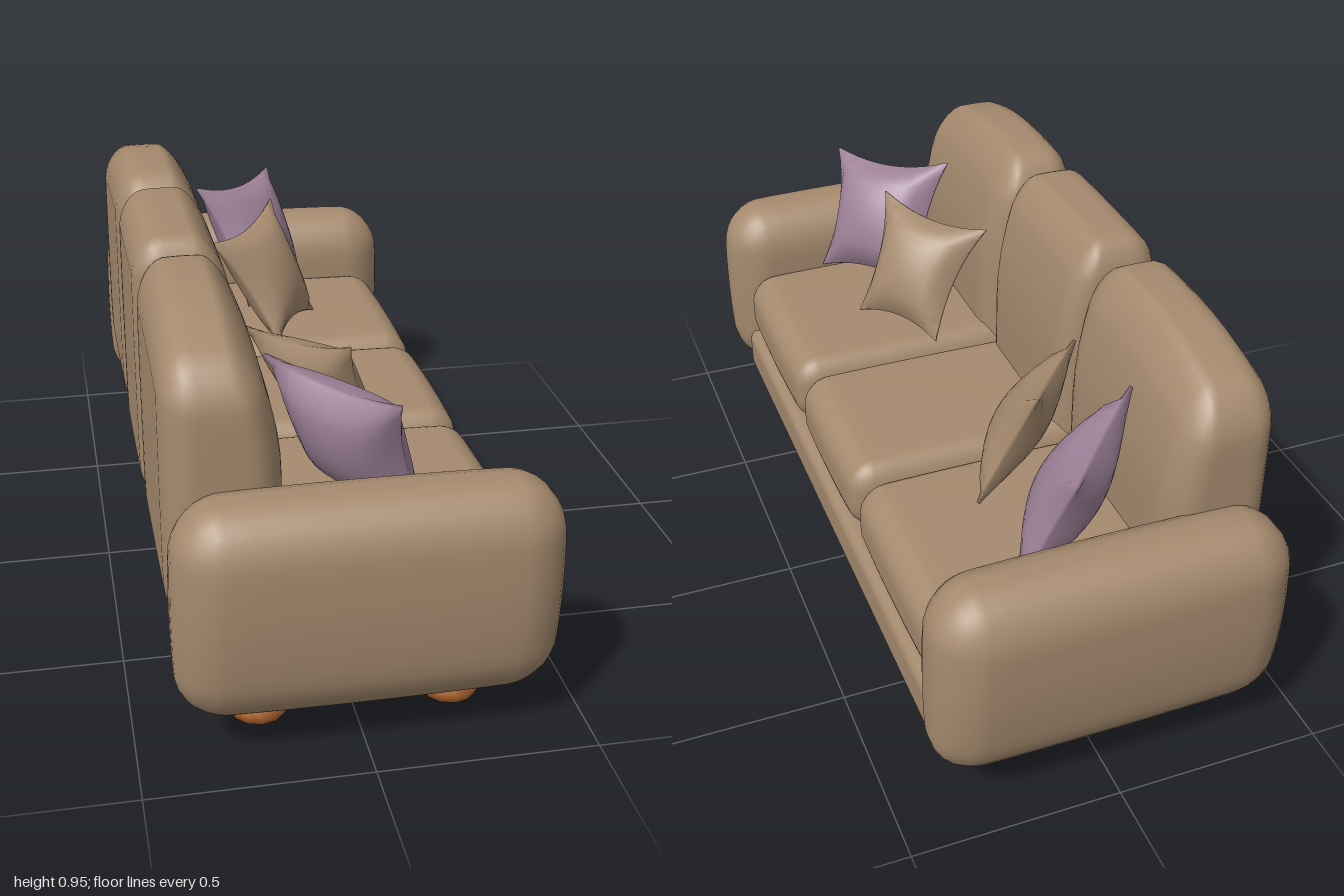
import * as THREE from 'three';
import { mergeVertices } from 'three/addons/utils/BufferGeometryUtils.js';

const mat = (name, color) => new THREE.MeshStandardMaterial({ name, color });

// Weld seams, then smooth the normals
function smooth(geo) {
  geo.deleteAttribute('uv');
  geo.deleteAttribute('normal');
  const g = mergeVertices(geo, 1e-5);
  g.computeVertexNormals();
  return g;
}

// Stuffed block between two corners, with a rounding radius per axis,
// a slight bulge on each side and an optional rule that moves each vertex
function cushion(min, max, radii, bulge = 0, warp = null) {
  const n = 14;
  const geo = new THREE.BoxGeometry(2, 2, 2, n, n, n);
  const pos = geo.attributes.position;
  const half = min.map((a, i) => (max[i] - a) / 2);
  const mid = min.map((a, i) => (max[i] + a) / 2);
  const v = new THREE.Vector3();
  for (let k = 0; k < pos.count; k++) {
    const p = [pos.getX(k), pos.getY(k), pos.getZ(k)];
    // outer half of each axis is the rounded edge
    const q = p.map((u) => Math.sign(u) * Math.tan(Math.max(0, Math.abs(u) - 0.5) * Math.PI / 2));
    const len = Math.hypot(...q);
    const unit = p.map((u, i) => {
      const flat = Math.max(-1, Math.min(1, u * 2)) * (half[i] - radii[i]);
      return (flat + radii[i] * q[i] / len) / half[i];
    });
    const sq = unit.map((u) => u * u);
    const sum = sq[0] + sq[1] + sq[2];
    v.fromArray(unit.map((u, i) => mid[i] + half[i] * u * (1 - bulge * (sum - sq[i]) / 2)));
    if (warp) warp(v);
    pos.setXYZ(k, v.x, v.y, v.z);
  }
  return smooth(geo);
}

// Puffed pillow stretched between four corners, with sides drawn inward
function pillow([topOut, topIn, lowIn, lowOut], puff) {
  const geo = new THREE.BoxGeometry(2, 2, 2, 10, 10, 1);
  const pos = geo.attributes.position;
  const uDir = lowOut.clone().sub(lowIn);
  const vDir = topIn.clone().sub(lowIn);
  const normal = uDir.cross(vDir).normalize();
  const low = new THREE.Vector3(), top = new THREE.Vector3();
  for (let k = 0; k < pos.count; k++) {
    const u = pos.getX(k), v = pos.getY(k), side = pos.getZ(k);
    const s = u * (1 - 0.17 * (1 - v * v)) / 2 + 0.5;
    const t = v * (1 - 0.17 * (1 - u * u)) / 2 + 0.5;
    const thick = 0.004 + puff * Math.pow((1 - u * u) * (1 - v * v), 0.55);
    low.lerpVectors(lowIn, lowOut, s);
    top.lerpVectors(topIn, topOut, s);
    low.lerp(top, t).addScaledVector(normal, side * thick);
    pos.setXYZ(k, low.x, low.y, low.z);
  }
  return smooth(geo);
}

export function createModel() {
  const fabric = mat('tan fabric', 0xa58a6e);
  const mauve = mat('mauve fabric', 0x9e8299);
  const wood = mat('orange wood', 0xb0672f);

  const sofa = new THREE.Group();
  sofa.name = 'sofa';
  const add = (name, geo, material) => {
    const mesh = new THREE.Mesh(geo, material);
    mesh.name = name;
    sofa.add(mesh);
    return mesh;
  };

  // Base frame
  add('base', cushion([-0.39, 0.125, -0.82], [0.39, 0.255, 0.82], [0.03, 0.03, 0.03]), fabric);

  // Back cushions lean at the top front and thin out; the outer ones slope down to the arms
  const backWarp = (v) => {
    const t = Math.max(0, (v.y - 0.6) / 0.35);
    if (v.x > -0.33) v.x -= 0.07 * t * t * (v.x + 0.33) / 0.17;
    const s = Math.max(0, (Math.abs(v.z) - 0.45) / 0.37);
    if (v.y > 0.6) v.y -= 0.07 * s * s * (v.y - 0.6) / 0.35;
  };
  const seatRadii = [0.07, 0.07, 0.05];

  // Middle seat and back
  add('middleBack', cushion([-0.42, 0.25, -0.238], [-0.16, 0.95, 0.238], [0.07, 0.1, 0.06], 0.02, backWarp), fabric);
  add('middleSeat', cushion([-0.3, 0.255, -0.24], [0.385, 0.455, 0.24], seatRadii, 0.03), fabric);

  // Round wooden foot
  const footGeo = new THREE.LatheGeometry([
    [0, 0], [0.035, 0.008], [0.063, 0.028], [0.073, 0.052], [0.064, 0.075],
    [0.05, 0.088], [0.056, 0.1], [0.056, 0.13], [0, 0.13],
  ].map(([r, y]) => new THREE.Vector2(r, y)), 12);

  for (const s of [1, -1]) {
    const side = s > 0 ? 'left' : 'right';
    const span = (x0, y0, z0, x1, y1, z1) =>
      [[x0, y0, Math.min(s * z0, s * z1)], [x1, y1, Math.max(s * z0, s * z1)]];

    // Outer back and seat
    add(side + 'Back', cushion(...span(-0.42, 0.25, 0.245, -0.16, 0.95, 0.835), [0.07, 0.12, 0.09], 0.02, backWarp), fabric);
    add(side + 'Seat', cushion(...span(-0.3, 0.255, 0.25, 0.385, 0.455, 0.8), seatRadii, 0.03), fabric);

    // Arm, tapering underneath on its outer side
    add(side + 'Arm', cushion(...span(-0.42, 0.11, 0.767, 0.42, 0.632, 1), [0.11, 0.12, 0.1], 0.05, (v) => {
      const t = Math.max(0, (0.45 - v.y) / 0.34);
      const out = Math.abs(v.z) - 0.86;
      v.z = s * (0.86 + out * (1 - (out > 0 ? 0.32 : 0.15) * t * t));
    }), fabric);

    // Loose pillows leaning into the corner
    const corners = (list) => list.map(([x, y, z]) => new THREE.Vector3(x, y, s * z));
    add(side + 'MauvePillow', pillow(corners([
      [0.07, 0.785, 0.845], [-0.17, 0.81, 0.59], [-0.04, 0.485, 0.48], [0.16, 0.46, 0.76],
    ]), 0.075), mauve);
    add(side + 'TanPillow', pillow(corners([
      [0.03, 0.785, 0.535], [-0.17, 0.75, 0.29], [0, 0.475, 0.225], [0.14, 0.47, 0.46],
    ]), 0.06), fabric);

    // Feet
    for (const x of [-0.22, 0.22]) {
      add(side + (x > 0 ? 'FrontFoot' : 'BackFoot'), footGeo, wood).position.set(x, 0, s * 0.77);
    }
  }
  return sofa;
}
